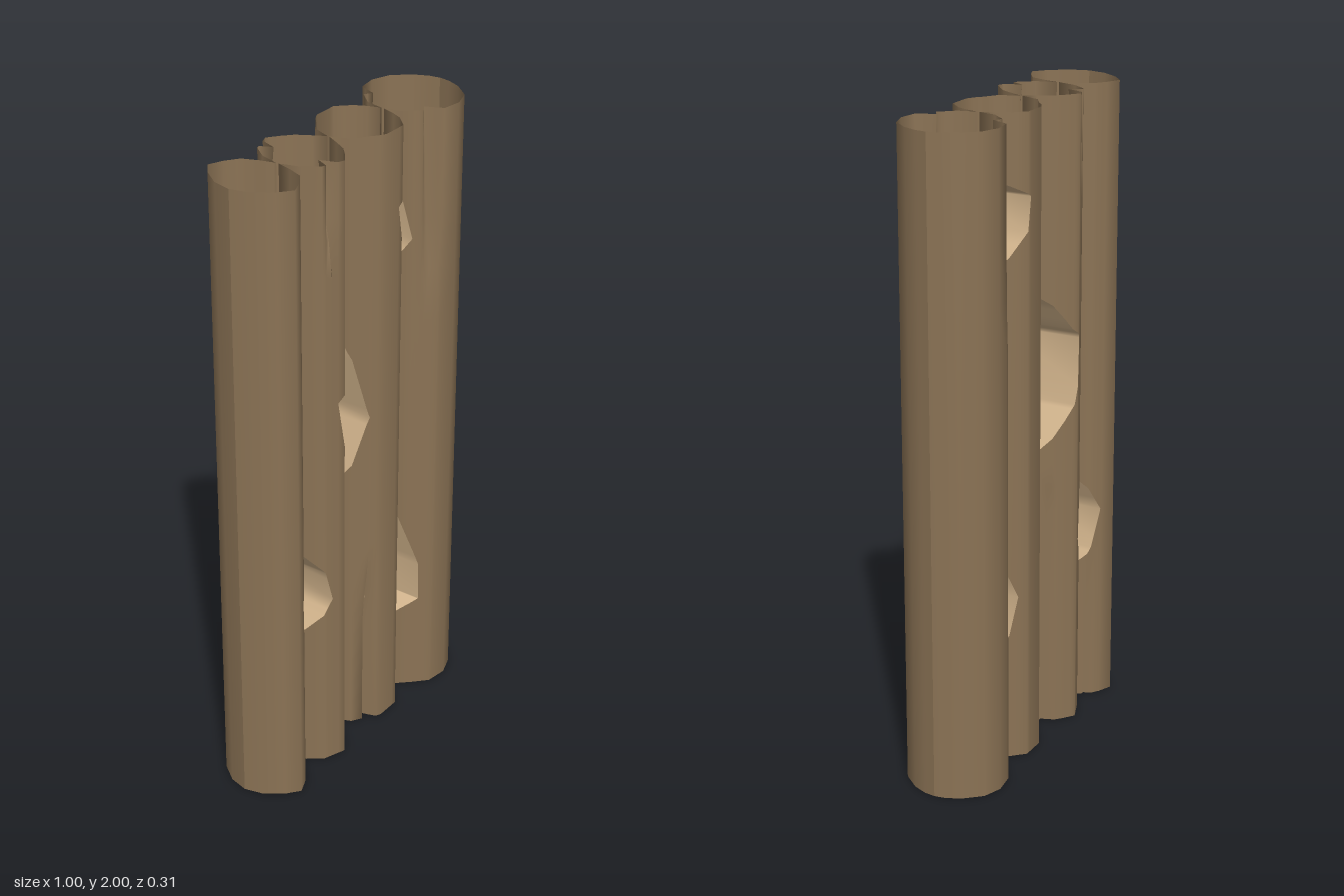
import * as THREE from 'three';

// Half cross-section of each upright log: [x, half depth]
const LOGS = [
  [[-0.5, 0], [-0.485, 0.06], [-0.445, 0.115], [-0.405, 0.147], [-0.36, 0.128], [-0.32, 0.1], [-0.3, 0.05], [-0.288, 0.004]],
  [[-0.288, 0.004], [-0.27, 0.065], [-0.235, 0.11], [-0.165, 0.136], [-0.13, 0.11], [-0.1, 0.083], [-0.075, 0.04], [-0.055, 0.003]],
  [[-0.055, 0.003], [-0.03, 0.065], [0.01, 0.09], [0.03, 0.108], [0.055, 0.121], [0.135, 0.121], [0.175, 0.08], [0.192, 0.045], [0.205, 0.003]],
  [[0.205, 0.003], [0.218, 0.06], [0.255, 0.1], [0.3, 0.143], [0.37, 0.153], [0.43, 0.132], [0.475, 0.08], [0.495, 0.035], [0.5, 0]],
];
const PROFILE = LOGS.flat();

// Grooves that run in from one end and fade out: centre, half width, depth, end y, fade y
const GROOVES = [
  { x: -0.205, w: 0.018, d: 0.045, end: 2, fade: 1.75 },
  { x: 0.285, w: 0.025, d: 0.04, end: 2, fade: 1.45 },
  { x: 0.02, w: 0.018, d: 0.045, end: 0, fade: 0.57 },
  { x: -0.325, w: 0.012, d: 0.02, end: 0, fade: 0.5 },
  { x: -0.095, w: 0.015, d: 0.025, end: 0, fade: 0.8 },
];

// Gaps worn right through: lower and upper edge, left to right
const HOLES = [
  { low: [[-0.357, 0.64], [-0.33, 0.515], [-0.3, 0.45], [-0.235, 0.54], [-0.205, 0.59]],
    high: [[-0.357, 0.64], [-0.29, 0.78], [-0.228, 0.69], [-0.205, 0.59]] },
  { low: [[-0.186, 1.255], [-0.157, 1.05], [-0.055, 0.87], [0.017, 1.105]],
    high: [[-0.186, 1.255], [-0.15, 1.29], [-0.1, 1.37], [-0.053, 1.425], [-0.035, 1.33], [0.017, 1.105]] },
  { low: [[0.118, 1.755], [0.135, 1.655], [0.203, 1.53], [0.242, 1.6]],
    high: [[0.118, 1.755], [0.188, 1.8], [0.204, 1.83], [0.242, 1.6]] },
  { low: [[0.155, 0.53], [0.19, 0.31], [0.205, 0.275], [0.27, 0.33]],
    high: [[0.155, 0.53], [0.19, 0.64], [0.205, 0.705], [0.25, 0.53], [0.268, 0.46], [0.27, 0.33]] },
];

// Straight-line interpolation along a list of points
function along(points, x) {
  for (let i = 1; i < points.length; i++) {
    const [x0, y0] = points[i - 1], [x1, y1] = points[i];
    if (x <= x1) return y0 + (y1 - y0) * Math.max(0, (x - x0) / (x1 - x0));
  }
  return points[points.length - 1][1];
}

// Half depth of the wall at (x, y), with grooves cut in
function depth(x, y) {
  let z = along(PROFILE, x);
  for (const g of GROOVES) {
    const across = Math.max(0, 1 - Math.abs(x - g.x) / g.w);
    const lengthwise = Math.max(0, (y - g.fade) / (g.end - g.fade));
    z -= g.d * across * Math.sqrt(lengthwise);
  }
  return Math.max(z, 0);
}

// Every x between two limits where the surface or a gap bends
function columns(x0, x1) {
  const xs = PROFILE.map(p => p[0]);
  for (const h of HOLES) xs.push(...[...h.low, ...h.high].map(p => p[0]));
  for (const g of GROOVES) xs.push(g.x - g.w, g.x, g.x + g.w);
  return [...new Set(xs)].filter(x => x >= x0 && x <= x1).sort((a, b) => a - b);
}

const holeEnds = h => [h.low[0][0], h.low[h.low.length - 1][0]];

// Holes that cross the strip between two columns, lowest first
const holesIn = (xa, xb) => HOLES.filter(h => {
  const [x0, x1] = holeEnds(h), m = (xa + xb) / 2;
  return m > x0 && m < x1;
}).sort((a, b) => a.low[0][1] - b.low[0][1]);

// Front and back skin of one log, open at both ends
function logSkin(profile) {
  const pos = [], nor = [], h = 0.014;
  const put = ([x, y], side) => {
    const a = Math.max(-0.5, x - h), b = Math.min(0.5, x + h);
    const c = Math.max(0, y - h), d = Math.min(2, y + h);
    const n = new THREE.Vector3(
      -(depth(b, y) - depth(a, y)) / (b - a),
      -(depth(x, d) - depth(x, c)) / (d - c), 1).normalize();
    pos.push(x, y, side * depth(x, y));
    nor.push(n.x, n.y, side * n.z);
  };
  const xs = columns(profile[0][0], profile[profile.length - 1][0]);
  for (let i = 1; i < xs.length; i++) {
    const xa = xs[i - 1], xb = xs[i];
    const edges = [[0, 0]];
    for (const hole of holesIn(xa, xb)) {
      edges.push([along(hole.low, xa), along(hole.low, xb)], [along(hole.high, xa), along(hole.high, xb)]);
    }
    edges.push([2, 2]);
    for (let e = 0; e < edges.length; e += 2) {
      const rows = 12, lo = edges[e], hi = edges[e + 1];
      const at = (k, t) => lo[k] + (hi[k] - lo[k]) * t;
      for (let r = 0; r < rows; r++) {
        const t = r / rows, u = (r + 1) / rows;
        const A = [xa, at(0, t)], B = [xb, at(1, t)], C = [xb, at(1, u)], D = [xa, at(0, u)];
        for (const p of [A, B, C, A, C, D]) put(p, 1);
        for (const p of [A, C, B, A, D, C]) put(p, -1);
      }
    }
  }
  const g = new THREE.BufferGeometry();
  g.setAttribute('position', new THREE.Float32BufferAttribute(pos, 3));
  g.setAttribute('normal', new THREE.Float32BufferAttribute(nor, 3));
  return g;
}

// Smooth band lining one gap from front skin to back skin
function gapWall(hole) {
  const xs = columns(...holeEnds(hole));
  const loop = [
    ...xs.map(x => [x, along(hole.low, x)]),
    ...xs.slice(1, -1).reverse().map(x => [x, along(hole.high, x)]),
  ];
  const pos = [], index = [];
  loop.forEach(([x, y], i) => {
    const z = depth(x, y), a = 2 * i, b = 2 * ((i + 1) % loop.length);
    pos.push(x, y, z, x, y, -z);
    index.push(a, b, b + 1, a, b + 1, a + 1);
  });
  const g = new THREE.BufferGeometry();
  g.setAttribute('position', new THREE.Float32BufferAttribute(pos, 3));
  g.setIndex(index);
  g.computeVertexNormals();
  return g;
}

function material(name, color) {
  const m = new THREE.MeshStandardMaterial({ color, side: THREE.DoubleSide });
  m.name = name;
  return m;
}

export function createModel() {
  const bark = material('brown bark', 0x8b7355);
  const innerWood = material('pale inner wood', 0xd2b48c);
  const model = new THREE.Group();
  model.name = 'log wall';
  const add = (geometry, mat, name) => {
    const mesh = new THREE.Mesh(geometry, mat);
    mesh.name = name;
    model.add(mesh);
  };
  LOGS.forEach((profile, i) => add(logSkin(profile), bark, `log${i + 1}`));
  HOLES.forEach((hole, i) => add(gapWall(hole), innerWood, `gapWall${i + 1}`));
  return model;
}
